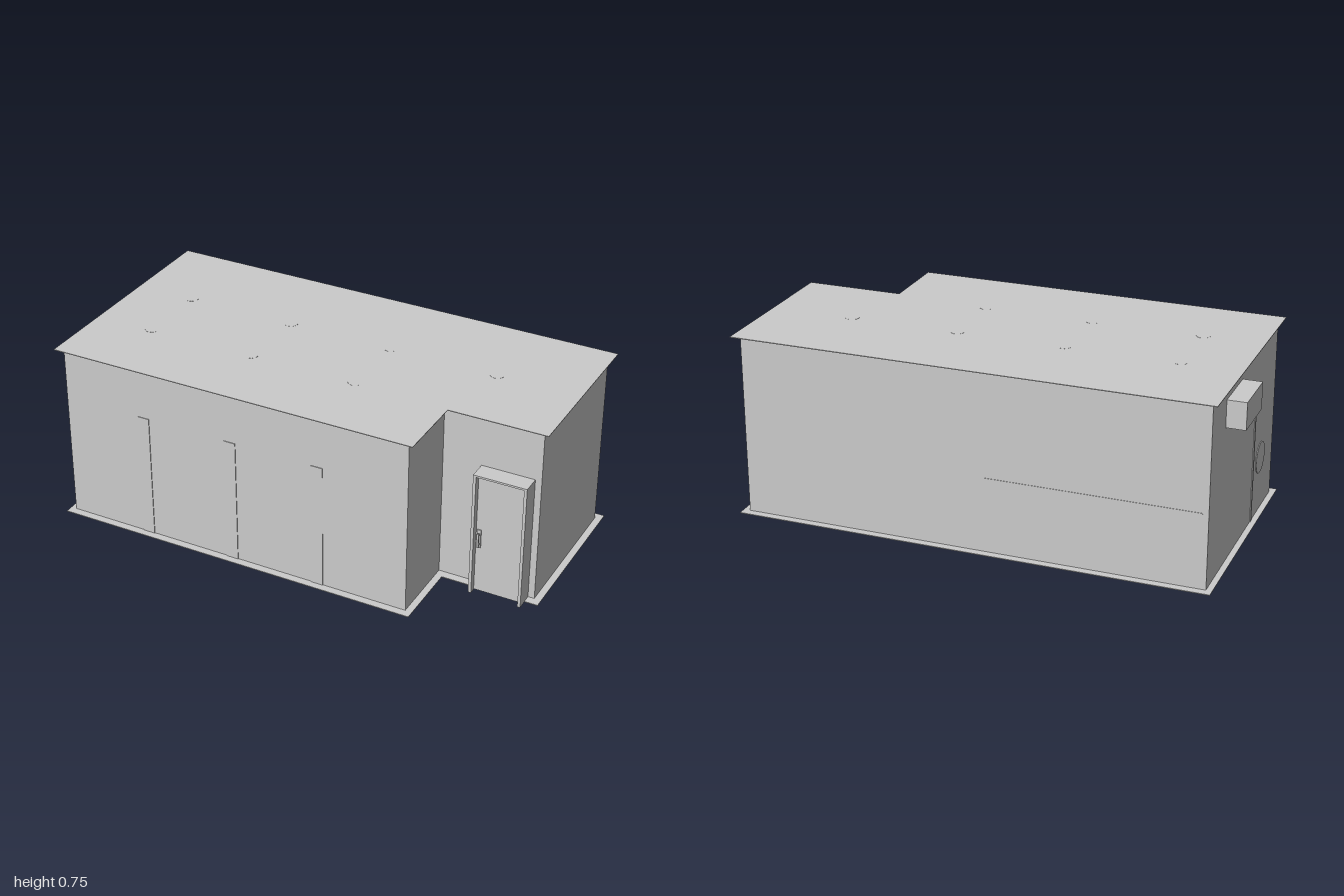
import * as THREE from 'three';

const material = new THREE.MeshStandardMaterial({ color: 0xcccccc, flatShading: true });

// L-shaped plan; corners are given in x and z
function planPoints(x0, x1, z0, z1, notchX, notchZ) {
  return [[x0, z0], [x1, z0], [x1, notchZ], [notchX, notchZ], [notchX, z1], [x0, z1]]
    .map(([x, z]) => new THREE.Vector2(x, -z));
}

export function createModel() {
  const model = new THREE.Group();

  function add(name, geometry, x = 0, y = 0, z = 0, parent = model) {
    const mesh = new THREE.Mesh(geometry, material);
    mesh.name = name;
    mesh.position.set(x, y, z);
    parent.add(mesh);
    return mesh;
  }
  // Box given by its extents on each axis
  function box(name, [x0, x1], [y0, y1], [z0, z1], parent) {
    return add(name, new THREE.BoxGeometry(x1 - x0, y1 - y0, z1 - z0),
      (x0 + x1) / 2, (y0 + y1) / 2, (z0 + z1) / 2, parent);
  }
  // Plan outline raised to a height
  function raise(name, shape, y, height) {
    const geometry = new THREE.ExtrudeGeometry(shape, { depth: height, bevelEnabled: false });
    geometry.rotateX(-Math.PI / 2);
    return add(name, geometry, 0, y, 0);
  }

  // Thin floor and roof sheets overhanging the walls
  const slab = new THREE.Shape(planPoints(-0.947, 0.995, -0.5, 0.49, 0.595, 0.195));
  raise('floor', slab, 0, 0.003);
  raise('roof', slab, 0.747, 0.003);

  // Hollow shell of walls
  const wallShape = new THREE.Shape(planPoints(-0.923, 0.967, -0.468, 0.458, 0.567, 0.16));
  wallShape.holes.push(new THREE.Path(planPoints(-0.9, 0.944, -0.445, 0.435, 0.544, 0.137)));
  raise('walls', wallShape, 0.003, 0.744);

  // Entrance: projecting frame, recessed leaf and handle
  const entrance = new THREE.Group();
  entrance.name = 'entrance';
  model.add(entrance);
  const frameDepth = [0.15, 0.236];
  box('doorJambRight', [0.725, 0.737], [0, 0.53], frameDepth, entrance);
  box('doorJambLeft', [0.929, 0.941], [0, 0.53], frameDepth, entrance);
  box('doorLintel', [0.737, 0.929], [0.522, 0.53], frameDepth, entrance);
  box('doorLeaf', [0.737, 0.929], [0.003, 0.522], [0.15, 0.21], entrance);
  box('handlePlate', [0.743, 0.758], [0.2, 0.28], [0.21, 0.215], entrance);
  box('handleGrip', [0.747, 0.755], [0.21, 0.27], [0.223, 0.23], entrance);
  for (const y of [0.215, 0.257]) {
    box('handlePost', [0.748, 0.754], [y, y + 0.008], [0.215, 0.223], entrance);
  }

  // Narrow upright strips on the front and right walls
  for (const x of [-0.595, -0.21, 0.165]) {
    box('frontStrip', [x, x + 0.05], [0.003, 0.53], [0.44, 0.461]);
  }
  box('sideStrip', [-0.926, -0.91], [0.003, 0.52], [0.15, 0.165]);

  // Shallow round plate on the right wall
  const disc = new THREE.CylinderGeometry(0.065, 0.065, 0.016, 32).rotateZ(Math.PI / 2);
  add('roundPlate', disc, -0.918, 0.235, 0.265);

  // Fine ledge along the back wall
  box('backLedge', [-0.9, -0.04], [0.309, 0.312], [-0.47, -0.46]);

  // Wall-mounted air unit
  box('airUnit', [-1, -0.915], [0.58, 0.69], [-0.285, -0.065]);

  // Round ceiling lights let into the roof
  const light = new THREE.CylinderGeometry(0.028, 0.028, 0.008, 24);
  for (const [x, z] of [[-0.7, -0.13], [-0.24, -0.13], [0.2, -0.13], [0.65, -0.13],
    [-0.7, 0.17], [-0.25, 0.17], [0.2, 0.17]]) {
    add('ceilingLight', light, x, 0.7465, z);
  }

  return model;
}
